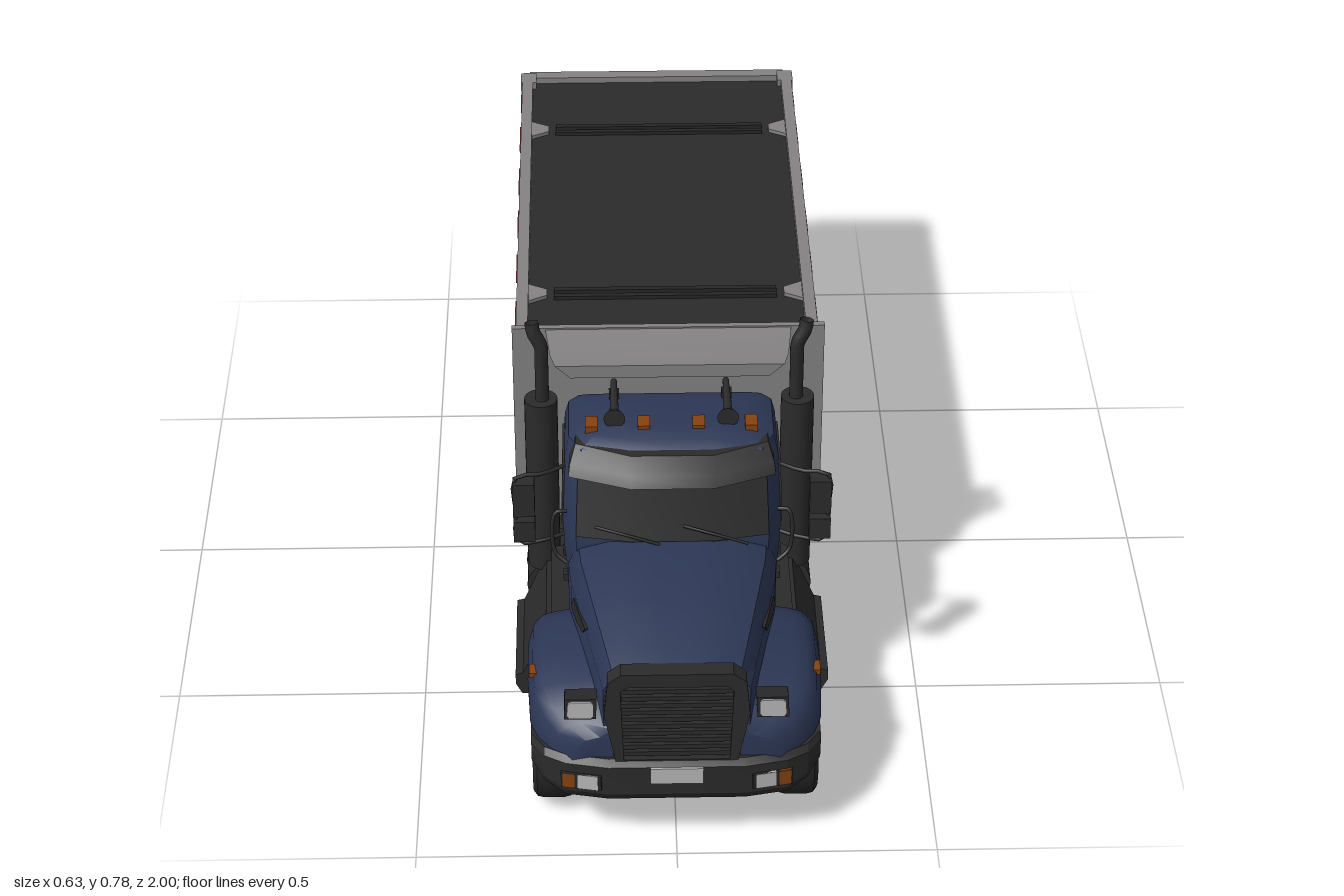
import * as THREE from 'three';
import { toCreasedNormals } from 'three/addons/utils/BufferGeometryUtils.js';

const mat = (name, color) => new THREE.MeshStandardMaterial({ name, color, side: THREE.DoubleSide });

export function createModel() {
  const blue = mat('cabBlue', 0x2c3755), dark = mat('darkTrim', 0x2b2b2b), black = mat('tyreBlack', 0x262626),
    grey = mat('bodyGrey', 0x848282), orange = mat('amber', 0x85420f), red = mat('red', 0x7a2e2e), white = mat('lampWhite', 0xb8b8b8);
  const root = new THREE.Group();
  root.name = 'dumpTruck';

  const add = (name, geo, m, x = 0, y = 0, z = 0) => {
    const mesh = new THREE.Mesh(geo, m);
    mesh.name = name;
    mesh.position.set(x, y, z);
    root.add(mesh);
    return mesh;
  };
  // box given by its extents
  const box = (name, m, x0, x1, y0, y1, z0, z1) => add(name,
    new THREE.BoxGeometry(Math.abs(x1 - x0), y1 - y0, z1 - z0), m, (x0 + x1) / 2, (y0 + y1) / 2, (z0 + z1) / 2);
  const both = fn => [1, -1].forEach(fn);
  const cyl = (name, m, r, len, axis, x, y, z, r2 = r) => {
    const g = new THREE.CylinderGeometry(r2, r, len, 24);
    if (axis === 'x') g.rotateZ(-Math.PI / 2);
    if (axis === 'z') g.rotateX(Math.PI / 2);
    return add(name, g, m, x, y, z);
  };
  const tube = (name, m, r, pts) => add(name, new THREE.TubeGeometry(
    new THREE.CatmullRomCurve3(pts.map(p => new THREE.Vector3(...p))), 16, r, 10), m);
  // skin closed rings of [x,y,z] points, cap both ends, face outward
  const loft = (rings, crease = 0.55) => {
    const tris = [], n = rings[0].length;
    for (let i = 0; i + 1 < rings.length; i++) for (let j = 0; j < n; j++) {
      const k = (j + 1) % n, a = rings[i][j], b = rings[i][k], c = rings[i + 1][k], d = rings[i + 1][j];
      tris.push([a, b, c], [a, c, d]);
    }
    [rings[0], rings[rings.length - 1]].forEach((r, e) => {
      const c = [0, 1, 2].map(q => r.reduce((s, p) => s + p[q], 0) / n);
      r.forEach((p, j) => tris.push(e ? [c, p, r[(j + 1) % n]] : [c, r[(j + 1) % n], p]));
    });
    const vol = tris.reduce((s, [a, b, c]) => s + new THREE.Vector3(...a).dot(
      new THREE.Vector3(...b).cross(new THREE.Vector3(...c))), 0);
    if (vol < 0) tris.forEach(t => t.reverse());
    const g = new THREE.BufferGeometry();
    g.setAttribute('position', new THREE.Float32BufferAttribute(tris.flat(2), 3));
    return toCreasedNormals(g, crease);
  };
  const mirrored = half => [...half, ...half.slice().reverse().map(([x, ...r]) => [-x, ...r])];
  const poly = pts => new THREE.Shape(pts.map(p => new THREE.Vector2(...p)));
  const extrude = (shape, depth) => new THREE.ExtrudeGeometry(shape, { depth, bevelEnabled: false });

  // ---- cab: rings stacked in y, each [y, half width, back z, front z]
  add('cab', loft([[0.24, 0.2, 0.35, 0.62], [0.42, 0.21, 0.35, 0.635], [0.475, 0.212, 0.35, 0.635], [0.6, 0.207, 0.355, 0.595],
    [0.632, 0.199, 0.36, 0.57], [0.648, 0.175, 0.38, 0.54], [0.655, 0.12, 0.4, 0.5]].map(([y, w, b, f]) =>
    mirrored([[w - 0.02, y, b], [w, y, b + 0.02], [w, y, f - 0.07], [w - 0.025, y, f - 0.02], [0.08, y, f]]))), blue);
  // curved strip across the cab front: corner set back by c, thickness t
  const strip = (y, w, f, c, t) => {
    const front = mirrored([[w, y, f - c], [0.08, y, f]]);
    return [...front, ...front.slice().reverse().map(([x, , z]) => [x, y, z - t])];
  };
  add('windscreen', loft([strip(0.477, 0.187, 0.6395, 0.02, 0.009), strip(0.6, 0.182, 0.6, 0.02, 0.009)]), dark);
  add('sunVisor', loft([strip(0.592, 0.2, 0.627, 0.045, 0.06), strip(0.612, 0.197, 0.614, 0.045, 0.06), strip(0.637, 0.186, 0.58, 0.045, 0.04)]), dark);
  both(s => {
    const win = poly([[-0.385, 0.44], [-0.385, 0.575], [-0.4, 0.592], [-0.53, 0.592], [-0.565, 0.47], [-0.5, 0.44]]);
    const w = add('sideWindow', extrude(win, 0.006), dark, s * 0.225 - 0.003, 0, 0);
    w.rotation.set(0, Math.PI / 2, s * 0.028, 'ZYX');
    box('doorHandle', dark, s * 0.203, s * 0.215, 0.395, 0.407, 0.385, 0.42);
    box('doorSeam', dark, s * 0.2, s * 0.2115, 0.27, 0.46, 0.363, 0.367);
    [0.33, 0.39].forEach(y => box('doorHinge', dark, s * 0.2, s * 0.213, y, y + 0.015, 0.545, 0.565));
    // mirrors on their bracket
    box('mainMirror', dark, s * 0.266, s * 0.308, 0.5, 0.575, 0.555, 0.585);
    box('lowerMirror', dark, s * 0.266, s * 0.308, 0.44, 0.487, 0.555, 0.585);
    tube('mirrorBracket', dark, 0.004, [[s * 0.2, 0.58, 0.52], [s * 0.25, 0.585, 0.56], [s * 0.302, 0.583, 0.57], [s * 0.303, 0.5, 0.57],
      [s * 0.3, 0.43, 0.57], [s * 0.25, 0.427, 0.56], [s * 0.2, 0.425, 0.53]]);
    tube('grabRail', dark, 0.004, [[s * 0.205, 0.51, 0.58], [s * 0.226, 0.51, 0.585], [s * 0.228, 0.42, 0.59], [s * 0.205, 0.4, 0.6]]);
    // roof lamps and air horns
    [0.053, 0.155].forEach(x => box('roofLamp', orange, s * (x - 0.012), s * (x + 0.012), 0.645, 0.66, 0.475, 0.512));
    cyl('airHorn', dark, 0.006, 0.11, 'z', s * 0.11, 0.668, 0.42, 0.009);
    cyl('hornBell', dark, 0.009, 0.025, 'z', s * 0.11, 0.668, 0.485, 0.021);
    box('hornMount', dark, s * 0.1, s * 0.12, 0.645, 0.668, 0.39, 0.41);
  });
  [-0.15, 0.02].forEach(x => tube('wiper', black, 0.003,
    [[x, 0.507, 0.63], [x + 0.06, 0.495, 0.642], [x + 0.125, 0.475, 0.646]]));

  // ---- bonnet: sections along z, each [z, half width, shoulder y, top y]
  add('bonnet', loft([[0.6, 0.203, 0.4, 0.475], [0.66, 0.198, 0.4, 0.475], [0.8, 0.172, 0.395, 0.457], [0.92, 0.148, 0.385, 0.433],
    [0.965, 0.138, 0.375, 0.42]].map(([z, w, s, t]) =>
    mirrored([[w, 0.2, z], [w, s, z], [w - 0.02, (s + t) / 2 + 0.008, z], [w * 0.6, t - 0.004, z], [w * 0.2, t, z]]))), blue);
  both(s => {
    // fender: [z, outer x, bottom y, top y]
    add('fender', loft([[0.585, 0.262, 0.19, 0.27], [0.62, 0.28, 0.15, 0.298], [0.655, 0.283, 0.155, 0.312], [0.7, 0.283, 0.226, 0.32],
      [0.785, 0.283, 0.257, 0.324], [0.87, 0.278, 0.226, 0.316], [0.915, 0.262, 0.18, 0.302], [0.95, 0.235, 0.18, 0.285],
      [0.975, 0.2, 0.18, 0.27]].map(([z, x, b, t]) => [[0.12, b], [x, b], [x, t - 0.065], [x - 0.01, t - 0.026], [x - 0.028, t - 0.008],
      [x - 0.055, t], [0.12, t + 0.018]].map(([px, py]) => [s * px, py, z])), 0.7), blue);
    add('headlampHousing', loft([[0.9, 0.02], [0.958, 0]].map(([z, i]) =>
      [[0.152, 0.3], [0.212, 0.3 + i], [0.21, 0.347 - i], [0.15, 0.347 - i]].map(([x, y]) => [s * x, y, z]))), dark);
    const lens = poly([[0.162, 0.304], [0.202, 0.304], [0.207, 0.311], [0.205, 0.338], [0.199, 0.343], [0.161, 0.343], [0.156, 0.336], [0.156, 0.311]]
      .map(([x, y]) => [s * x, y]));
    add('headlamp', extrude(lens, 0.009), white, 0, 0, 0.953);
    box('fenderMarker', orange, s * 0.262, s * 0.279, 0.29, 0.301, 0.79, 0.82);
    const vent = poly([[-0.82, 0.405], [-0.7, 0.39], [-0.67, 0.35], [-0.73, 0.355], [-0.79, 0.375]]);
    const v = add('bonnetVent', extrude(vent, 0.006).translate(0.745, 0, 0), dark, s * 0.182 - 0.003, 0, 0.745);
    v.rotation.y = Math.PI / 2 - s * 0.188;
  });

  // ---- grille
  const frame = poly([[-0.115, 0.215], [0.115, 0.215], [0.137, 0.33], [0.13, 0.405], [0.105, 0.425], [-0.105, 0.425], [-0.13, 0.405], [-0.137, 0.33]]);
  frame.holes.push(poly([[-0.1, 0.222], [-0.106, 0.385], [-0.095, 0.395], [0.095, 0.395], [0.106, 0.385], [0.1, 0.222]]));
  add('grilleFrame', extrude(frame, 0.035), dark, 0, 0, 0.95);
  box('grilleBack', black, -0.11, 0.11, 0.215, 0.4, 0.962, 0.968);
  for (let i = 0; i < 10; i++) box('grilleBar', dark, -0.105, 0.105, 0.229 + i * 0.0165, 0.239 + i * 0.0165, 0.97, 0.982);
  box('radiatorStrip', white, -0.03, 0.085, 0.238, 0.246, 0.966, 0.97);
  box('radiatorTag', white, 0, 0.032, 0.354, 0.362, 0.966, 0.97);
  box('radiatorCap', orange, -0.08, -0.05, 0.354, 0.362, 0.966, 0.97);

  // ---- bumper: sections across x, each [x, front z, bottom y]
  const bump = [[0.276, 0.915, 0.155], [0.25, 0.955, 0.14], [0.21, 0.978, 0.125], [0.13, 0.994, 0.125]];
  add('bumper', loft([...bump, ...bump.slice().reverse().map(([x, z, b]) => [-x, z, b])].map(([x, z, b]) =>
    [[x, b, z - 0.05], [x, b, z - 0.012], [x, b + 0.02, z], [x, 0.21, z], [x, 0.222, z - 0.012], [x, 0.222, z - 0.05]]), 0.3), dark);
  box('numberPlate', white, -0.05, 0.05, 0.174, 0.21, 0.992, 0.999);
  both(s => {
    const lamp = (name, m, x0, x1, zc) => {
      const b = box(name, m, s * x0, s * x1, 0.156, 0.19, zc - 0.004, zc + 0.004);
      b.rotation.y = s * 0.2;
    };
    lamp('bumperLampBezel', black, 0.142, 0.22, 0.985);
    lamp('fogLamp', white, 0.149, 0.188, 0.988);
    lamp('turnLamp', orange, 0.193, 0.216, 0.981);
  });

  // ---- exhaust stacks, steps and tanks
  both(s => {
    cyl('exhaustShield', dark, 0.033, 0.4, 'y', s * 0.255, 0.4, 0.322);
    tube('exhaustPipe', dark, 0.014, [[s * 0.252, 0.58, 0.322], [s * 0.252, 0.68, 0.322], [s * 0.253, 0.725, 0.322], [s * 0.267, 0.755, 0.32], [s * 0.27, 0.775, 0.316]]);
    const steps = poly([[0.16, 0.06], [0.3, 0.06], [0.313, 0.085], [0.313, 0.108], [0.298, 0.112], [0.258, 0.205], [0.25, 0.222], [0.16, 0.222]]
      .map(([x, y]) => [s * x, y]));
    add('cabSteps', extrude(steps, 0.245), dark, 0, 0, 0.335);
    box('stepRiser', dark, s * 0.14, s * 0.24, 0.2, 0.25, 0.34, 0.6);
    box('splashPanel', dark, s * 0.15, s * 0.27, 0.09, 0.2, 0.58, 0.63);
    cyl('fuelTank', dark, 0.066, 0.32, 'z', s * 0.225, 0.145, 0.175);
    [0.08, 0.24].forEach(z => cyl('tankStrap', black, 0.068, 0.02, 'z', s * 0.225, 0.145, z));
    cyl('airTank', dark, 0.026, 0.13, 'z', s * 0.13, 0.14, -0.06);
    box('airValve', dark, s * 0.1, s * 0.17, 0.13, 0.175, -0.16, -0.11);
  });

  // ---- chassis and running gear
  both(s => box('frameRail', dark, s * 0.065, s * 0.095, 0.18, 0.24, -0.95, 0.93));
  [-0.93, -0.61, -0.3, 0, 0.3].forEach(z => box('crossMember', dark, -0.08, 0.08, 0.185, 0.225, z - 0.02, z + 0.02));
  box('bedSubframe', dark, -0.12, 0.12, 0.225, 0.265, -0.94, 0.3);
  box('engine', dark, -0.085, 0.085, 0.085, 0.24, 0.62, 0.93);
  box('oilPan', dark, -0.06, 0.06, 0.068, 0.09, 0.66, 0.78);
  cyl('gearbox', dark, 0.055, 0.28, 'z', 0, 0.145, 0.47, 0.08);
  tube('driveShaft', dark, 0.018, [[0, 0.145, 0.34], [0, 0.18, 0.1], [0, 0.195, -0.2], [0, 0.14, -0.42]]);
  cyl('frontAxle', dark, 0.022, 0.42, 'x', 0, 0.115, 0.785);
  const tyre = (x, z, w) => {
    const h = w / 2;
    const g = new THREE.LatheGeometry([[0.07, -h * 0.8], [0.085, -h], [0.108, -h], [0.119, -h * 0.8], [0.122, -h * 0.5], [0.122, h * 0.5],
      [0.119, h * 0.8], [0.108, h], [0.085, h], [0.07, h * 0.8]].map(p => new THREE.Vector2(...p)), 40);
    g.rotateZ(-Math.PI / 2);
    add('tyre', toCreasedNormals(g, 0.6), black, x, 0.122, z);
  };
  both(s => {
    tyre(s * 0.235, 0.785, 0.08);
    cyl('frontRim', dark, 0.074, 0.05, 'x', s * 0.235, 0.122, 0.785);
    cyl('frontHub', dark, 0.035, 0.075, 'x', s * 0.235, 0.122, 0.785);
  });
  [-0.46, -0.765].forEach(z => {
    cyl('rearAxle', dark, 0.028, 0.4, 'x', 0, 0.122, z);
    const d = add('differential', new THREE.SphereGeometry(0.065, 20, 14), dark, 0, 0.125, z);
    d.scale.set(0.9, 0.9, 1.1);
    both(s => {
      tyre(s * 0.241, z, 0.066);
      tyre(s * 0.17, z, 0.066);
      cyl('rearRim', dark, 0.074, 0.09, 'x', s * 0.19, 0.122, z);
      add('rimLip', new THREE.TorusGeometry(0.07, 0.006, 8, 32).rotateY(Math.PI / 2), dark, s * 0.268, 0.122, z);
      cyl('rearHub', dark, 0.034, 0.1, 'x', s * 0.215, 0.122, z);
    });
  });
  both(s => {
    box('walkingBeam', dark, s * 0.095, s * 0.13, 0.09, 0.125, -0.77, -0.455);
    box('suspensionSaddle', dark, s * 0.08, s * 0.14, 0.06, 0.19, -0.65, -0.575);
    tube('frontSpring', dark, 0.012, [[s * 0.11, 0.17, 0.95], [s * 0.11, 0.12, 0.785], [s * 0.11, 0.17, 0.62]]);
    // wheel guard with an amber rear face
    const g = box('wheelGuard', dark, s * 0.14, s * 0.295, 0.07, 0.19, -0.325, -0.312);
    const a = box('wheelGuardBack', orange, s * 0.14, s * 0.293, 0.073, 0.18, -0.327, -0.325);
    g.rotation.x = a.rotation.x = -0.1;
    // mud flaps and tail lamps
    box('mudFlap', dark, s * 0.16, s * 0.305, 0.04, 0.2, -0.925, -0.918);
    box('tailLampPanel', dark, s * 0.08, s * 0.305, 0.18, 0.235, -0.945, -0.915);
    [red, orange, white, red].forEach((m, i) =>
      box('tailLamp', m, s * (0.168 + i * 0.034), s * (0.19 + i * 0.034), 0.19, 0.224, -0.952, -0.944));
  });

  // ---- dump bed
  box('bedBody', grey, -0.288, 0.288, 0.262, 0.6, -0.95, 0.22);
  box('bedUnderside', dark, -0.285, 0.285, 0.253, 0.262, -0.94, 0.22);
  box('loadCover', dark, -0.285, 0.285, 0.6, 0.616, -0.95, 0.2);
  [-0.72, -0.035].forEach(z => {
    [-0.012, 0.012].forEach(o => box('coverBar', black, -0.23, 0.23, 0.614, 0.624, z + o - 0.006, z + o + 0.006));
    both(s => {
      const gusset = add('coverGusset', extrude(poly([[0.287, -0.035], [0.245, -0.012], [0.245, 0.012], [0.287, 0.035]].map(([x, y]) => [s * x, y])), 0.008), grey, 0, 0.624, z);
      gusset.rotation.x = Math.PI / 2;
    });
  });
  both(s => {
    box('topRail', grey, s * 0.283, s * 0.307, 0.59, 0.632, -0.96, 0.22);
    // lower rail with a sloped upper ledge
    const rail = poly([[0.28, 0.262], [0.305, 0.262], [0.305, 0.285], [0.286, 0.31], [0.28, 0.31]].map(([x, y]) => [s * x, y]));
    add('bottomRail', extrude(rail, 1.175), grey, 0, 0, -0.955);
    [0.19, -0.08, -0.34, -0.6, -0.865].forEach(z => box('sideRib', grey, s * 0.28, s * 0.304, 0.28, 0.6, z - 0.012, z + 0.012));
    // side reflectors, the end ones shorter
    [0.185, 0.025, -0.16, -0.34, -0.52, -0.705, -0.87].forEach((z, i) => {
      const h = i % 6 ? 0.047 : 0.03;
      box('sideReflector', red, s * 0.303, s * 0.31, 0.598, 0.611, z - h, z + h);
    });
    box('rearPost', grey, s * 0.275, s * 0.31, 0.26, 0.632, -0.965, -0.92);
    box('tailgateLatch', dark, s * 0.305, s * 0.312, 0.5, 0.525, -0.95, -0.935);
    // tailgate handles and reflectors
    tube('tailgateHandle', dark, 0.004, [[s * 0.27, 0.37, -0.97], [s * 0.27, 0.372, -0.994], [s * 0.27, 0.415, -0.994], [s * 0.27, 0.417, -0.97]]);
    box('gateReflector', red, s * 0.235, s * 0.27, 0.605, 0.615, -0.978, -0.973);
    box('postReflector', red, s * 0.285, s * 0.295, 0.555, 0.595, -0.97, -0.964);
    box('lowerReflector', red, s * 0.12, s * 0.18, 0.268, 0.28, -0.983, -0.979);
  });
  // headboard, its upper rear face leaning forward: profile in (z, y)
  const board = poly([[-0.245, 0.258], [-0.2, 0.258], [-0.2, 0.64], [-0.232, 0.715], [-0.245, 0.715]]);
  add('headboard', extrude(board, 0.622), grey, -0.311, 0, 0).rotation.y = Math.PI / 2;
  add('cabShield', loft([[0.24, 0.245, 0.668, 0.712], [0.33, 0.235, 0.676, 0.706], [0.375, 0.225, 0.682, 0.71]].map(([z, w, b, t]) =>
    [[-w + 0.03, b, z], [w - 0.03, b, z], [w, t, z], [-w, t, z]])), grey);
  [-0.055, 0.055].forEach(x => box('shieldBracket', dark, x - 0.006, x + 0.006, 0.66, 0.685, 0.24, 0.32));

  // ---- tailgate
  box('tailgate', grey, -0.29, 0.29, 0.262, 0.63, -0.968, -0.945);
  box('gateTopBar', grey, -0.29, 0.29, 0.595, 0.63, -0.974, -0.96);
  box('gateBottomBar', grey, -0.29, 0.29, 0.262, 0.29, -0.98, -0.96);
  [-0.28, -0.14, 0, 0.14, 0.28].forEach(x => box('gateRib', grey, x - 0.011, x + 0.011, 0.28, 0.6, -0.977, -0.96));
  box('gateCrossRib', grey, -0.28, 0.28, 0.44, 0.455, -0.974, -0.96);
  [0.205, -0.07, -0.205].forEach(x => box('gateMarkerPlate', orange, x - 0.046, x + 0.046, 0.322, 0.368, -0.979, -0.972));
  box('gateCentreReflector', red, -0.03, 0.03, 0.268, 0.28, -0.983, -0.979);
  return root;
}
